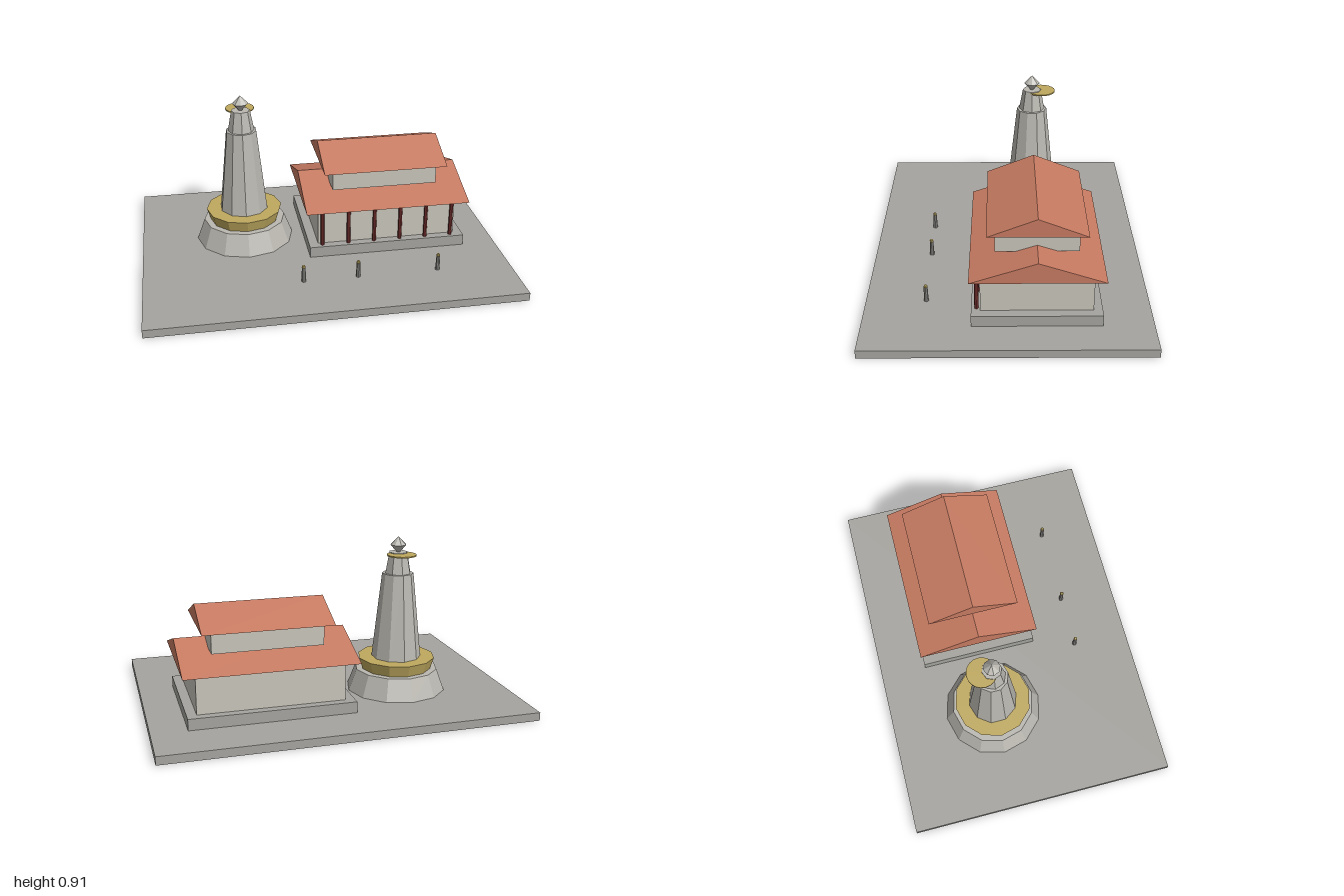
import * as THREE from 'three';

export function createModel() {
  const model = new THREE.Group();
  model.name = 'templeCompound';

  const mat = (name, color) => {
    const m = new THREE.MeshStandardMaterial({ color, flatShading: true });
    m.name = name;
    return m;
  };
  const paving = mat('pavingGrey', 0xa5a49f);
  const stone = mat('towerStone', 0xbab8b1);
  const plaster = mat('plaster', 0xc8c4b9);
  const tile = mat('roofTile', 0xc67a61);
  const gold = mat('gold', 0xbfa95f);
  const red = mat('columnRed', 0x7d3532);
  const postGrey = mat('postGrey', 0x8c8b87);

  const add = (parent, name, geometry, material, x, y, z) => {
    const mesh = new THREE.Mesh(geometry, material);
    mesh.name = name;
    mesh.position.set(x, y, z);
    parent.add(mesh);
    return mesh;
  };
  // Box standing on y0
  const block = (parent, name, material, w, y0, y1, d, x, z) =>
    add(parent, name, new THREE.BoxGeometry(w, y1 - y0, d), material, x, (y0 + y1) / 2, z);
  // Faceted frustum standing on y0
  const drum = (parent, name, material, rTop, rBottom, y0, y1, sides, x, z) =>
    add(parent, name, new THREE.CylinderGeometry(rTop, rBottom, y1 - y0, sides), material, x, (y0 + y1) / 2, z);
  // Solid gable roof with its ridge along x
  const gable = (parent, name, length, y0, y1, depth, x, z) => {
    const s = new THREE.Shape();
    s.moveTo(-depth / 2, 0);
    s.lineTo(depth / 2, 0);
    s.lineTo(0, y1 - y0);
    s.closePath();
    const g = new THREE.ExtrudeGeometry(s, { depth: length, bevelEnabled: false });
    g.translate(0, 0, -length / 2);
    g.rotateY(Math.PI / 2);
    return add(parent, name, g, tile, x, y0, z);
  };

  // Courtyard slab
  block(model, 'courtyard', paving, 2, 0, 0.045, 1.48, 0, 0);

  // Tapering tower
  const tower = new THREE.Group();
  tower.name = 'tower';
  tower.position.set(-0.41, 0, -0.148);
  model.add(tower);
  drum(tower, 'towerBase', stone, 0.231, 0.276, 0.045, 0.165, 12, 0, 0);
  drum(tower, 'goldCollar', gold, 0.215, 0.195, 0.165, 0.229, 12, 0, 0);
  drum(tower, 'towerShaft', stone, 0.086, 0.137, 0.229, 0.705, 10, 0, 0);
  drum(tower, 'towerNeck', stone, 0.052, 0.073, 0.705, 0.822, 8, 0, 0);
  drum(tower, 'finialLower', stone, 0.045, 0.008, 0.82, 0.862, 8, 0, 0);
  drum(tower, 'finialUpper', stone, 0, 0.045, 0.862, 0.907, 8, 0, 0);
  drum(tower, 'goldDisc', gold, 0.08, 0.08, 0.811, 0.818, 20, 0, -0.053);

  // Two-tiered hall
  const hall = new THREE.Group();
  hall.name = 'hall';
  hall.position.set(0.368, 0, -0.147);
  model.add(hall);
  block(hall, 'podium', paving, 0.887, 0.045, 0.106, 0.665, 0, 0);
  block(hall, 'lowerWalls', plaster, 0.785, 0.106, 0.316, 0.573, 0, 0);
  gable(hall, 'lowerRoof', 0.925, 0.316, 0.431, 0.682, 0, 0);
  block(hall, 'upperWalls', plaster, 0.593, 0.395, 0.508, 0.425, 0, 0);
  gable(hall, 'upperRoof', 0.697, 0.508, 0.609, 0.508, 0, 0);

  // Row of front columns
  for (let i = 0; i < 6; i++) {
    drum(hall, 'column', red, 0.011, 0.011, 0.106, 0.316, 8, (i - 2.5) * 0.148, 0.305);
  }

  // Small courtyard posts with gold caps
  for (const x of [-0.15, 0.147, 0.59]) {
    const post = new THREE.Group();
    post.name = 'post';
    post.position.set(x, 0, 0.425);
    model.add(post);
    drum(post, 'postShaft', postGrey, 0.01, 0.013, 0.045, 0.128, 8, 0, 0);
    add(post, 'postCap', new THREE.SphereGeometry(0.011, 8, 4), gold, 0, 0.133, 0);
  }

  return model;
}
